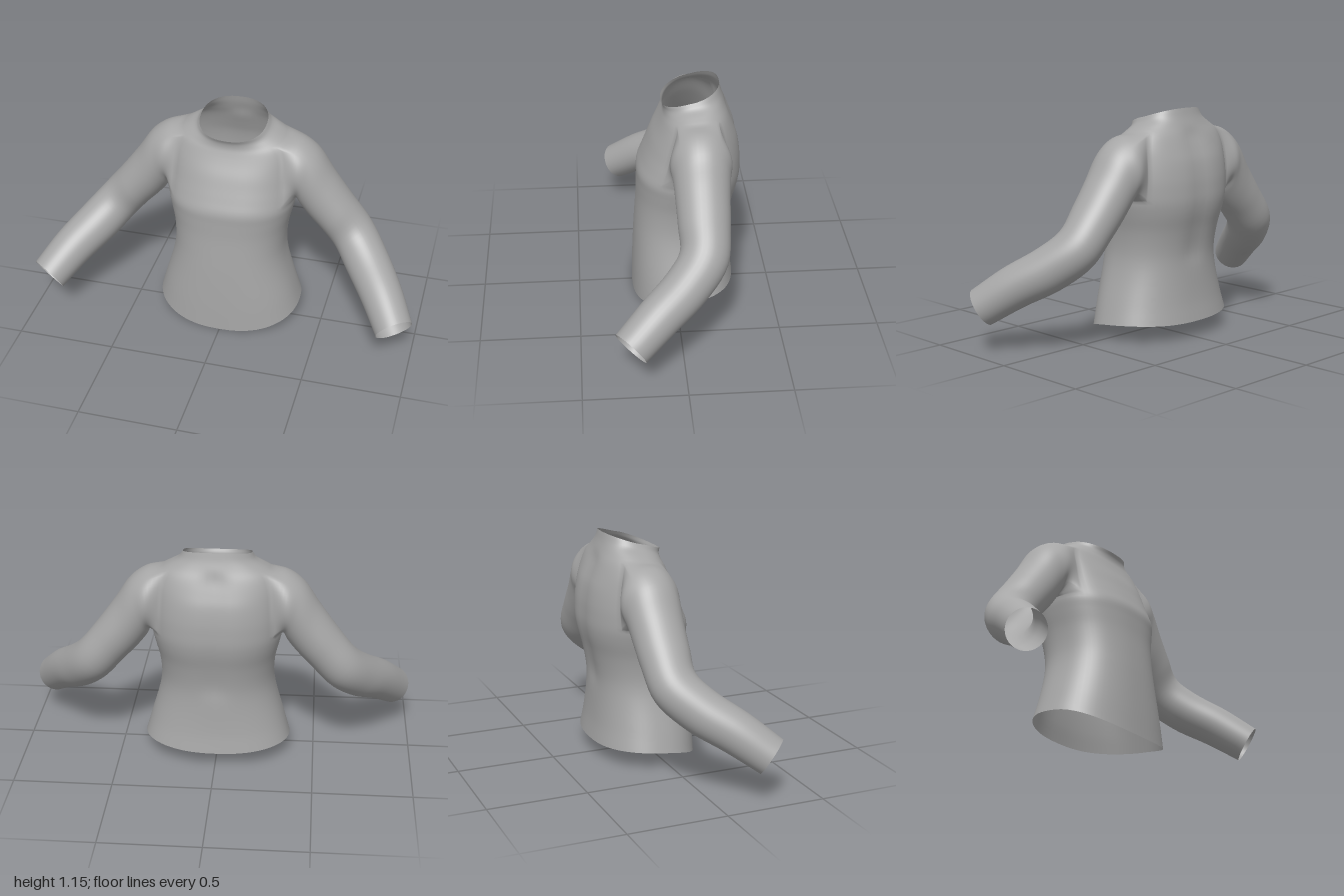
import * as THREE from 'three';

const V = (x, y, z) => new THREE.Vector3(x, y, z);
const COLS = 64, STEP = 4, SLEEVE_STEP = 5;

// Body rings from hem to neck: half width, front z, back z, then y at front, side and back
const BODY = [
  [0.375, 0.22, -0.305, 0, 0.085, 0.085],
  [0.345, 0.216, -0.29, 0.15, 0.19, 0.19],
  [0.3, 0.207, -0.28, 0.34, 0.35, 0.35],
  [0.288, 0.2, -0.283, 0.44, 0.44, 0.44],
  [0.295, 0.192, -0.302, 0.55, 0.55, 0.55],
  [0.315, 0.19, -0.325, 0.64, 0.64, 0.64],
  [0.327, 0.188, -0.334, 0.7, 0.7, 0.7],
  [0.328, 0.165, -0.334, 0.76, 0.76, 0.76],
  [0.325, 0.14, -0.33, 0.82, 0.82, 0.82],
  [0.32, 0.115, -0.316, 0.88, 0.895, 0.9],
  [0.31, 0.085, -0.295, 0.94, 0.975, 0.96],
  [0.285, 0.065, -0.272, 0.985, 1.03, 1.02],
  [0.235, 0.055, -0.25, 1.015, 1.062, 1.07],
  [0.19, 0.056, -0.235, 1.04, 1.085, 1.115],
  [0.17, 0.065, -0.225, 1.06, 1.11, 1.155],
];

// Sleeve rings: outer x, y, inner x, y, centre z, depth radius
const SLEEVE = [
  [0.35, 1.028, 0.335, 0.705, -0.11, 0.15],
  [0.43, 0.972, 0.352, 0.668, -0.11, 0.14],
  [0.51, 0.855, 0.4, 0.605, -0.11, 0.132],
  [0.605, 0.725, 0.465, 0.535, -0.11, 0.126],
  [0.705, 0.6, 0.55, 0.435, -0.1, 0.12],
  [0.8, 0.5, 0.637, 0.34, -0.01, 0.113],
  [0.9, 0.4, 0.747, 0.25, 0.13, 0.106],
  [0.985, 0.287, 0.845, 0.153, 0.265, 0.097],
];

// Point on a body ring: a soft superellipse whose height varies front to back
function bodyPoint([w, zf, zb, yf, ys, yb], angle) {
  const c = Math.cos(angle), s = Math.sin(angle), e = 0.85;
  const x = w * Math.sign(c) * Math.abs(c) ** e;
  const groove = s < 0 && ys > 0.4 && ys < 1.05 ? 0.01 * Math.exp(-((x / 0.06) ** 2)) : 0;
  return V(
    x,
    ys + (yf - yb) / 2 * s + ((yf + yb) / 2 - ys) * s * s,
    (zf + zb) / 2 + (zf - zb) / 2 * Math.sign(s) * Math.abs(s) ** e + groove
  );
}

// Each sleeve ring as a centre with two radius vectors
function sleeveFrames() {
  const centres = SLEEVE.map(([ox, oy, ix, iy, z]) => V((ox + ix) / 2, (oy + iy) / 2, z));
  return SLEEVE.map(([ox, oy, ix, iy, , r], i) => {
    const along = centres[Math.min(i + 1, centres.length - 1)].clone().sub(centres[Math.max(i - 1, 0)]);
    const up = V((ox - ix) / 2, (oy - iy) / 2, 0);
    const side = along.cross(up).normalize().multiplyScalar(r);
    return { centre: centres[i], up, side };
  });
}

export function createModel() {
  const group = new THREE.Group();
  group.name = 'longSleevedTop';
  const fabric = new THREE.MeshStandardMaterial({ color: 0xa6a6a6, side: THREE.DoubleSide });
  fabric.name = 'greyFabric';

  const points = [];
  const quad = (list, a, b, c, d, flip) =>
    flip ? list.push(a, c, b, a, d, c) : list.push(a, b, c, a, c, d);

  // Body grid, smoothed upwards through the rings
  const rows = (BODY.length - 1) * STEP;
  const at = (j, k) => j * COLS + ((k + COLS) % COLS);
  for (let k = 0; k < COLS; k++) {
    const column = new THREE.CatmullRomCurve3(BODY.map((ring) => bodyPoint(ring, k / COLS * Math.PI * 2)));
    for (let j = 0; j <= rows; j++) points[at(j, k)] = column.getPoint(j / rows);
  }

  // Body faces, leaving an armhole on each side
  const low = 25, high = 45, half = 6;
  const inHole = (j, k) => j >= low && j < high &&
    [0, COLS / 2, COLS].some((mid) => k >= mid - half && k < mid + half);
  const body = [];
  for (let j = 0; j < rows; j++) {
    for (let k = 0; k < COLS; k++) {
      if (!inHole(j, k)) quad(body, at(j, k), at(j + 1, k), at(j + 1, k + 1), at(j, k + 1));
    }
  }

  // Armhole edge as a loop of row and column pairs
  const edge = [];
  for (let j = low; j < high; j++) edge.push([j, -half]);
  for (let k = -half; k < half; k++) edge.push([high, k]);
  for (let j = high; j > low; j--) edge.push([j, half]);
  for (let k = half; k > -half; k--) edge.push([low, k]);

  // Sleeves grow out of the armhole edges, so the shoulder is seamless
  const frames = sleeveFrames();
  const length = frames.length * SLEEVE_STEP;
  function buildSleeve(sign) {
    const faces = [], n = edge.length;
    const grid = edge.map(([j, k]) => {
      const root = points[at(j, k)];
      const a = Math.atan2((root.z + 0.1) / 0.12, (root.y - 0.878) / 0.16);
      const line = new THREE.CatmullRomCurve3([root.clone(), ...frames.map((f) =>
        f.centre.clone().addScaledVector(f.up, Math.cos(a)).addScaledVector(f.side, Math.sin(a)))]);
      const strip = [sign > 0 ? at(j, k) : at(j, COLS / 2 - k)];
      for (let s = 1; s <= length; s++) {
        const p = line.getPoint(s / length);
        p.x *= sign;
        strip.push(points.push(p) - 1);
      }
      return strip;
    });
    for (let i = 0; i < n; i++) {
      const p = grid[i], q = grid[(i + 1) % n];
      for (let s = 0; s < length; s++) quad(faces, p[s], q[s], q[s + 1], p[s + 1], sign < 0);
    }
    return faces;
  }
  const parts = { body, leftSleeve: buildSleeve(1), rightSleeve: buildSleeve(-1) };

  // Shared positions and normals keep the shading smooth across the parts
  const whole = new THREE.BufferGeometry().setFromPoints(points);
  whole.setIndex(Object.values(parts).flat());
  whole.computeVertexNormals();
  for (const [name, faces] of Object.entries(parts)) {
    const geometry = new THREE.BufferGeometry();
    geometry.setAttribute('position', whole.attributes.position);
    geometry.setAttribute('normal', whole.attributes.normal);
    geometry.setIndex(faces);
    const mesh = new THREE.Mesh(geometry, fabric);
    mesh.name = name;
    group.add(mesh);
  }
  return group;
}
